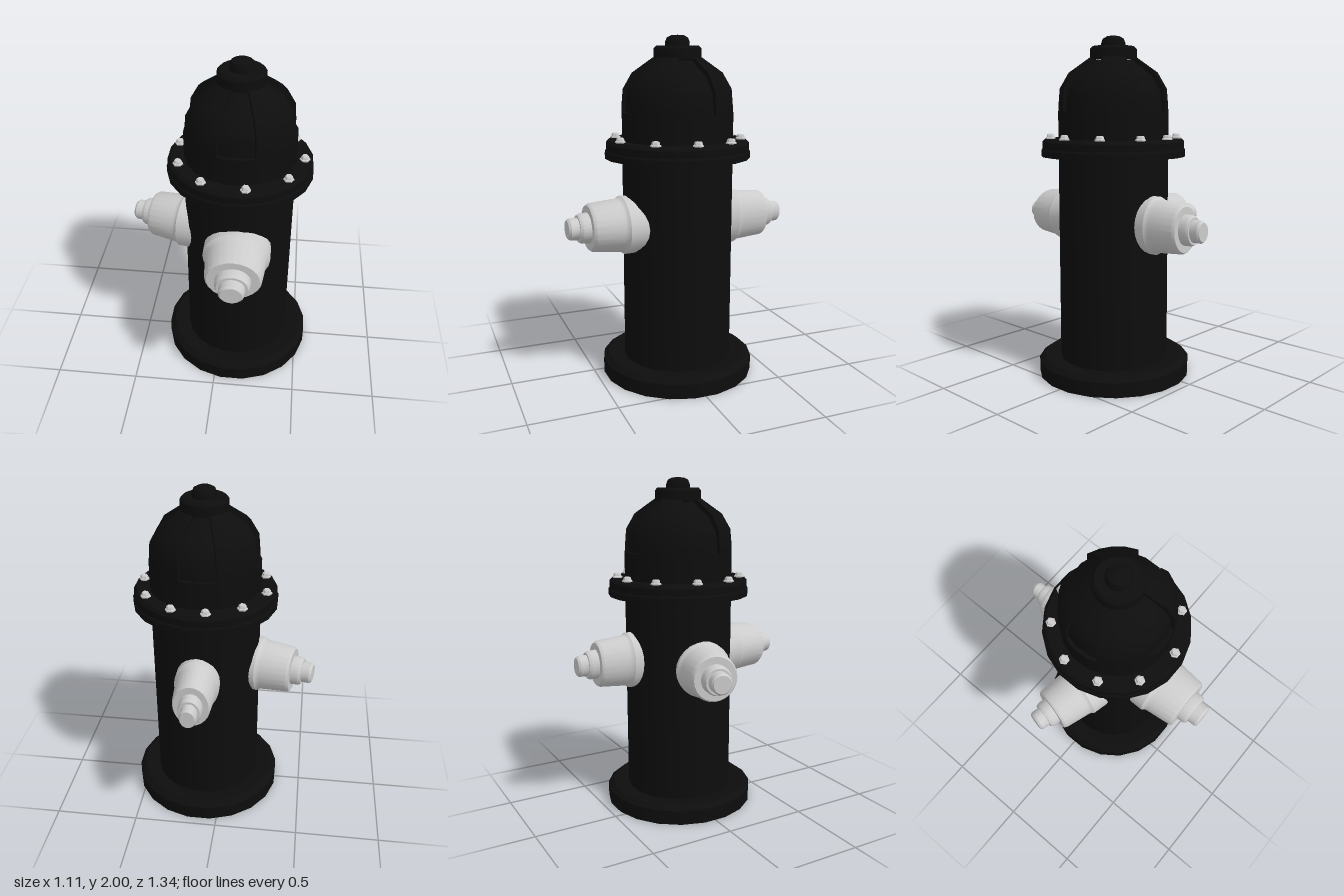
import * as THREE from 'three';
import { toCreasedNormals } from 'three/addons/utils/BufferGeometryUtils.js';

const rad = THREE.MathUtils.degToRad;
const black = new THREE.MeshStandardMaterial({ color: 0x0d0d0d });
const blackThin = new THREE.MeshStandardMaterial({ color: 0x0d0d0d, side: THREE.DoubleSide });
const grey = new THREE.MeshStandardMaterial({ color: 0xcccccc });

const toPoints = (list) => list.map(([x, y]) => new THREE.Vector2(x, y));

// Turned part: [radius, height] profile from bottom to top
function turned(name, profile, material, sides = 20, start = 0, length = Math.PI * 2) {
  const geo = new THREE.LatheGeometry(toPoints(profile), sides, start, length);
  const mesh = new THREE.Mesh(toCreasedNormals(geo, 0.5), material);
  mesh.name = name;
  return mesh;
}

// Stepped outlet with its cap, pointing along +z of its group
function outlet(name, x, y, z, yaw, widthScale) {
  const profile = [
    [0, 0.15], [0.167, 0.15], [0.167, 0.35], [0.155, 0.365],
    [0.152, 0.38], [0.138, 0.535], [0.128, 0.55],
    [0.087, 0.55], [0.085, 0.595], [0.076, 0.61],
    [0.063, 0.61], [0.062, 0.657], [0.052, 0.67], [0, 0.67],
  ];
  const mesh = turned(name + 'Body', profile, grey, 24);
  mesh.rotation.x = Math.PI / 2;
  const group = new THREE.Group();
  group.name = name;
  group.add(mesh);
  group.position.set(x, y, z);
  group.rotation.y = yaw;
  group.scale.x = widthScale;
  return group;
}

// Bonnet: recessed core with four raised quarter shells
function bonnet() {
  const group = new THREE.Group();
  group.name = 'bonnet';
  const outer = [[0.322, 1.56], [0.321, 1.6], [0.312, 1.7], [0.26, 1.79], [0.14, 1.875]];
  const inner = [[0.302, 1.56], [0.3, 1.6], [0.29, 1.69], [0.24, 1.77], [0.12, 1.86]];
  group.add(turned('recessedPanels', inner, black, 20, rad(9)));
  const wall = new THREE.ShapeGeometry(new THREE.Shape(toPoints([...outer, ...[...inner].reverse()])));
  for (let i = 0; i < 4; i++) {
    const from = 19 + i * 90;
    group.add(turned('raisedShell', outer, blackThin, 4, rad(from), rad(52)));
    for (const angle of [from, from + 52]) {
      const side = new THREE.Mesh(wall, blackThin);
      side.name = 'shellEdge';
      side.rotation.y = rad(angle - 90);
      group.add(side);
    }
  }
  return group;
}

export function createModel() {
  const model = new THREE.Group();
  model.name = 'hydrant';

  // Black column, all on one axis
  const column = new THREE.Group();
  column.name = 'column';
  column.position.x = 0.11;
  model.add(column);
  const start = rad(9);
  column.add(
    turned('base', [[0, 0], [0.453, 0], [0.453, 0.085], [0.42, 0.11], [0.36, 0.11], [0.3, 0.1]], black, 20, start),
    turned('barrel', [[0.323, 0.05], [0.323, 1.57], [0.28, 1.57]], black, 20, start),
    turned('flange', [[0.3, 1.31], [0.424, 1.31], [0.424, 1.345], [0.417, 1.355], [0.417, 1.395],
      [0.4, 1.412], [0.3, 1.412]], black, 20, start),
    bonnet(),
    turned('topCap', [[0.1, 1.865], [0.136, 1.865], [0.136, 1.925], [0.122, 1.94], [0, 1.94]], black, 20, start),
    turned('topKnob', [[0.07, 1.93], [0.07, 1.96], [0.06, 1.985], [0.035, 1.998], [0, 2]], black, 16),
  );

  // Hexagonal bolts, a little unevenly spaced around the flange
  const boltProfile = [[0.03, 1.405], [0.03, 1.42], [0.024, 1.423], [0.022, 1.435], [0.018, 1.44], [0, 1.44]];
  for (const angle of [4, 40, 81, 121, 157, 192, 229, 262, 293, 328]) {
    const bolt = turned('bolt', boltProfile, grey, 6, rad(30));
    bolt.position.set(0.368 * Math.cos(rad(angle)), 0, 0.368 * Math.sin(rad(angle)));
    column.add(bolt);
  }

  // Three outlets of different widths
  model.add(
    outlet('frontOutlet', 0.122, 0.932, 0, 0, 1.17),
    outlet('backOutlet', 0.12, 0.932, 0, Math.PI, 0.78),
    outlet('rightOutlet', 0.113, 0.905, 0.062, rad(-103), 0.98),
  );
  return model;
}
